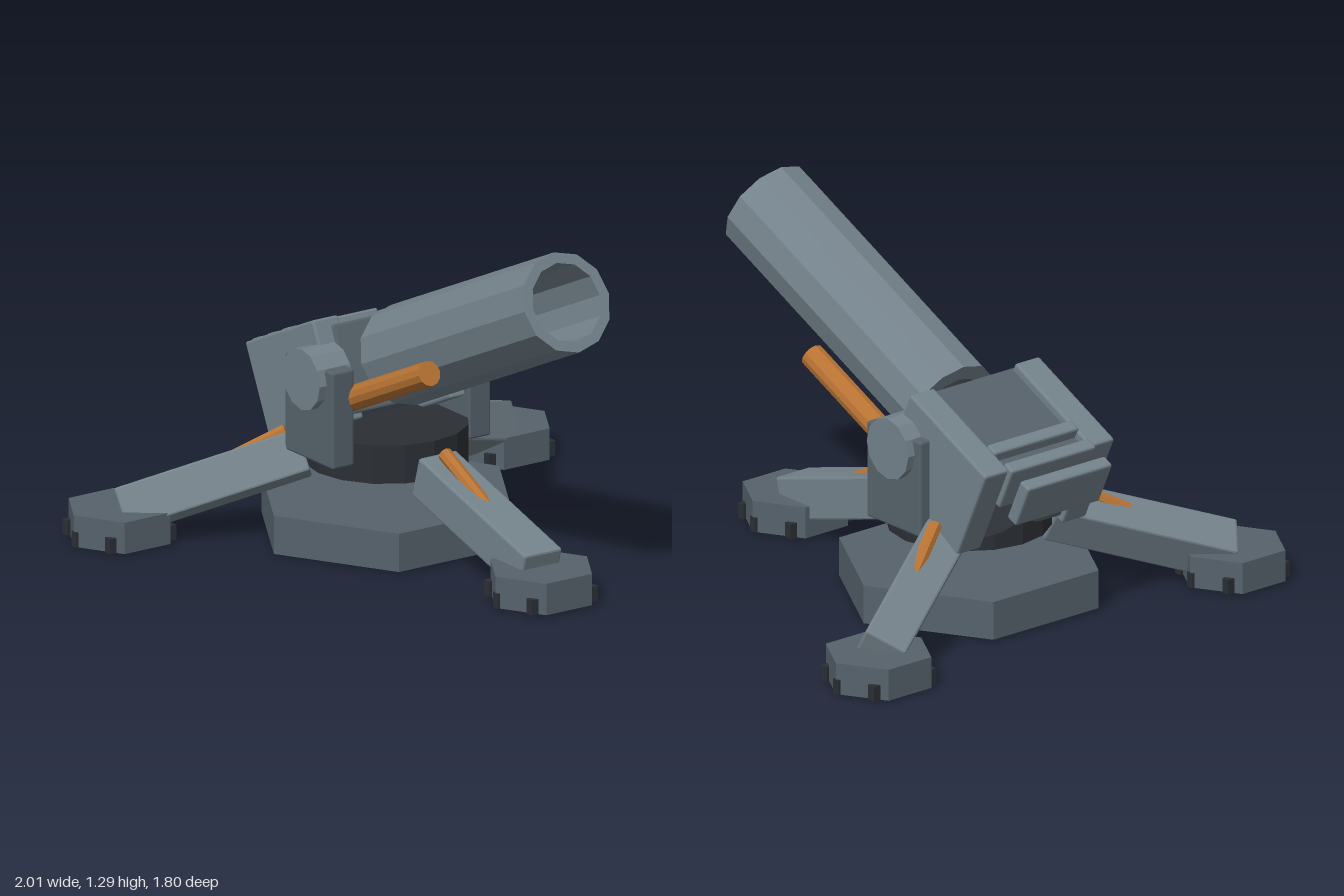
import * as THREE from 'three';
import { RoundedBoxGeometry } from 'three/addons/geometries/RoundedBoxGeometry.js';

const mat = (color) => new THREE.MeshStandardMaterial({ color, flatShading: true });

export function createModel() {
  const steel = mat(0x74828b), plate = mat(0x56626b), black = mat(0x2b2f34), copper = mat(0xb87333);
  const HUB_Z = -0.265;
  const model = new THREE.Group();
  model.name = 'fieldMortar';

  const add = (parent, name, geometry, material, x = 0, y = 0, z = 0) => {
    const mesh = new THREE.Mesh(geometry, material);
    mesh.name = name;
    mesh.position.set(x, y, z);
    parent.add(mesh);
    return mesh;
  };
  const group = (parent, name, x = 0, y = 0, z = 0) => {
    const g = new THREE.Group();
    g.name = name;
    g.position.set(x, y, z);
    parent.add(g);
    return g;
  };
  const box = (w, h, d) => new RoundedBoxGeometry(w, h, d, 1, 0.008);
  const hex = (r, h) => new THREE.CylinderGeometry(r, r, h, 6).rotateY(Math.PI / 2);

  // Hexagonal base and the turntable ring above it
  add(model, 'basePlate', hex(0.48, 0.14), plate, 0, 0.095, HUB_Z);
  add(model, 'turntableRing', new THREE.CylinderGeometry(0.29, 0.29, 0.14, 16), black, 0, 0.355, HUB_Z);

  // Three legs around the hub; the rear pair lean backwards
  const legs = [
    { name: 'front', angle: 0, pitch: 0.285, yaw: 0 },
    { name: 'rearLeft', angle: Math.PI * 2 / 3, pitch: -0.56, yaw: 2.16 },
    { name: 'rearRight', angle: -Math.PI * 2 / 3, pitch: -0.56, yaw: -2.16 },
  ];
  for (const { name, angle, pitch, yaw } of legs) {
    const at = (r) => [Math.sin(angle) * r, HUB_Z + Math.cos(angle) * r];
    const [lx, lz] = at(0.606);
    add(model, name + 'Leg', box(0.16, 0.154, 0.67), steel, lx, 0.215, lz).rotation.set(pitch, yaw, 0);

    // Brace rod lying on the leg
    const brace = group(model, name + 'Brace', 0, 0, HUB_Z);
    brace.rotation.y = angle;
    add(brace, name + 'BraceRod', new THREE.CylinderGeometry(0.026, 0.026, 0.32, 8).rotateX(Math.PI / 2),
      copper, 0, 0.325, 0.495).rotation.x = 0.46;

    // Foot pad with its bolts and dark sole
    const [fx, fz] = at(0.933);
    const foot = group(model, name + 'Foot', fx, 0, fz);
    add(foot, 'footPad', hex(0.195, 0.115), plate, 0, 0.0825, 0);
    add(foot, 'footSole', new THREE.CylinderGeometry(0.13, 0.13, 0.01, 6).rotateY(Math.PI / 2), black, 0, 0.024, 0);
    for (const deg of [0, 45, 135, 180, 225, 315]) {
      const a = THREE.MathUtils.degToRad(deg);
      add(foot, 'footBolt', new THREE.BoxGeometry(0.03, 0.055, 0.03), black,
        Math.cos(a) * 0.18, 0.0525, Math.sin(a) * 0.18);
    }
  }

  // Everything that elevates turns about the trunnions
  const gun = group(model, 'elevatingGun', 0, 0.645, -0.26);
  gun.rotation.x = -THREE.MathUtils.degToRad(25);

  // Hollow twelve-sided barrel
  const profile = [[0, 0.108], [0.18, 0.108], [0.18, 1.193], [0.142, 1.193], [0.142, 0.3], [0, 0.3]]
    .map(([r, z]) => new THREE.Vector2(r, z));
  add(gun, 'barrel', new THREE.LatheGeometry(profile, 12).rotateX(Math.PI / 2), steel);
  add(gun, 'barrelNeck', new THREE.CylinderGeometry(0.12, 0.12, 0.1, 12).rotateX(Math.PI / 2), black, 0, 0, 0.08);

  // Breech block and its three rear plates
  add(gun, 'breechBlock', box(0.45, 0.32, 0.44), plate, 0, 0, -0.16);
  for (const z of [-0.295, -0.395, -0.492]) {
    add(gun, 'breechPlate', box(0.385, 0.173, 0.05), steel, 0, 0.115, z);
  }

  for (const s of [1, -1]) {
    const side = s > 0 ? 'left' : 'right';
    // Breech cheek and recoil cylinder
    add(gun, side + 'Cheek', box(0.11, 0.37, 0.45), steel, s * 0.24, 0.005, -0.175);
    add(gun, side + 'RecoilCylinder', new THREE.CylinderGeometry(0.045, 0.045, 0.58, 12).rotateX(Math.PI / 2),
      copper, s * 0.225, -0.107, 0.292);
    // Fixed yoke arm and trunnion
    add(model, side + 'YokeArm', box(0.092, 0.355, 0.29), plate, s * 0.291, 0.5225, -0.257);
    add(model, side + 'Trunnion', new THREE.CylinderGeometry(0.112, 0.112, 0.14, 12).rotateZ(Math.PI / 2),
      steel, s * 0.297, 0.645, -0.26);
  }
  return model;
}
